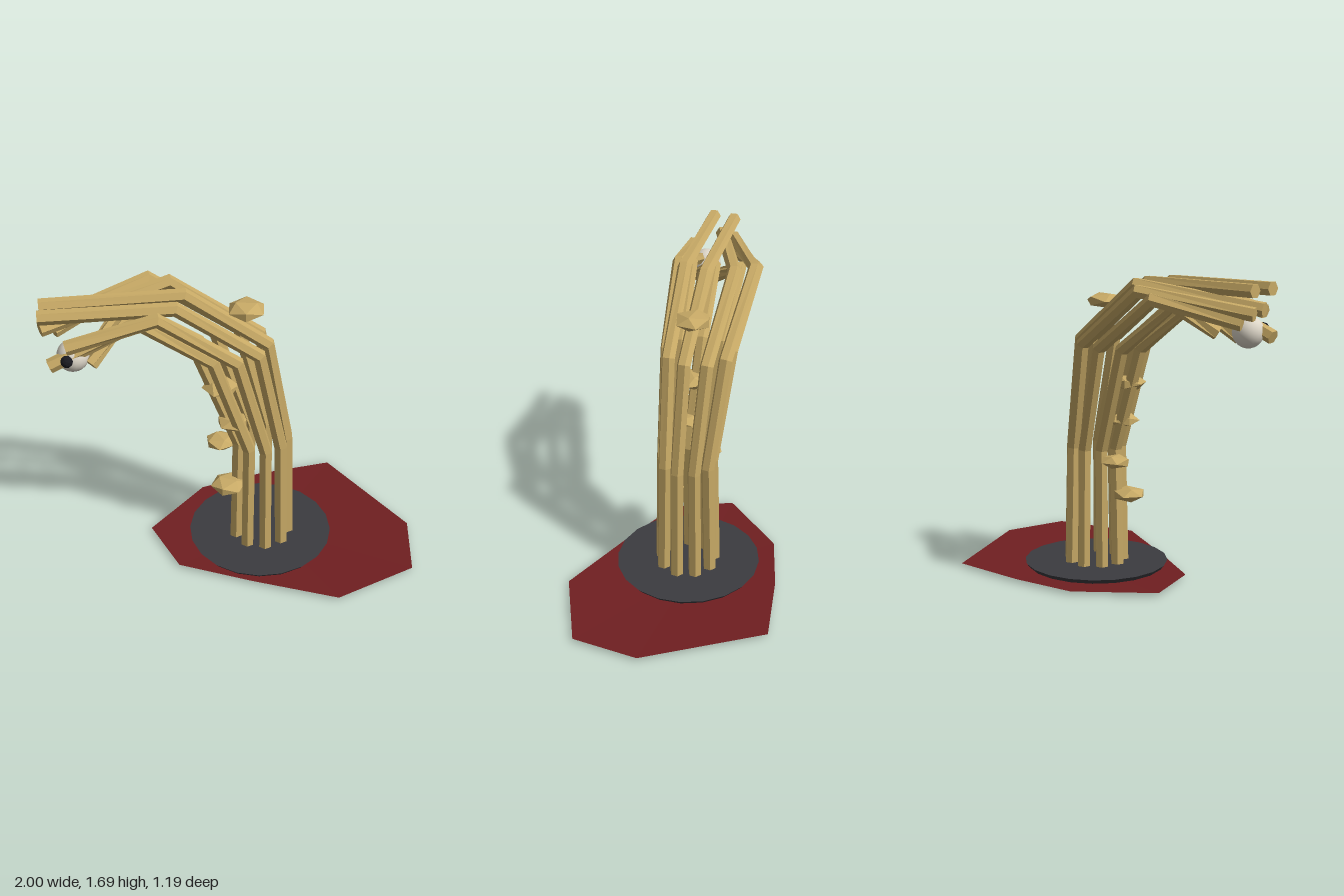
import * as THREE from 'three';

const mat = (name, color, extra = {}) => {
  const m = new THREE.MeshStandardMaterial({ color, ...extra });
  m.name = name;
  return m;
};

// Six-sided rod swept along a polyline with mitred joints and capped ends.
function rodGeometry(points, radius, sides = 6) {
  const pos = [], index = [];
  const side = new THREE.Vector3(0, 0, 1);
  const n = points.length;
  points.forEach((p, i) => {
    const a = points[Math.max(i - 1, 0)], b = points[Math.min(i + 1, n - 1)];
    const dirIn = p.clone().sub(a).normalize(), dirOut = b.clone().sub(p).normalize();
    const t = dirIn.add(dirOut).normalize();
    const u = side.clone().addScaledVector(t, -side.dot(t)).normalize();
    const v = t.clone().cross(u);
    for (let k = 0; k < sides; k++) {
      const ang = (k / sides) * Math.PI * 2;
      const q = p.clone().addScaledVector(u, Math.cos(ang) * radius).addScaledVector(v, Math.sin(ang) * radius);
      pos.push(q.x, q.y, q.z);
    }
  });
  for (let i = 0; i < n - 1; i++) {
    for (let k = 0; k < sides; k++) {
      const a = i * sides + k, b = i * sides + (k + 1) % sides;
      index.push(a, b, b + sides, a, b + sides, a + sides);
    }
  }
  const last = (n - 1) * sides;
  for (let k = 1; k < sides - 1; k++) {
    index.push(0, k + 1, k, last, last + k, last + k + 1);
  }
  const g = new THREE.BufferGeometry();
  g.setAttribute('position', new THREE.Float32BufferAttribute(pos, 3));
  g.setIndex(index);
  g.computeVertexNormals();
  return g;
}

export function createModel() {
  const model = new THREE.Group();
  const wood = mat('tan wood', 0xc8aa66, { flatShading: true });
  const red = mat('dark red', 0x701f21, { flatShading: true, side: THREE.DoubleSide });
  const grey = mat('charcoal', 0x3b3b40, { flatShading: true });
  const white = mat('off white', 0xddd6c8);
  const black = mat('black', 0x1a1a20, { flatShading: true });

  const add = (name, geometry, material, x = 0, y = 0, z = 0, parent = model) => {
    const mesh = new THREE.Mesh(geometry, material);
    mesh.name = name;
    mesh.position.set(x, y, z);
    parent.add(mesh);
    return mesh;
  };

  // Ground patch: irregular nine-sided sheet, very slightly dished
  const rim = [[1, -0.04], [1, 0.34], [0.58, 0.59], [0.1, 0.47], [-0.31, 0.35],
    [-0.49, 0.04], [-0.21, -0.34], [0.13, -0.48], [0.55, -0.6]];
  const patch = new THREE.BufferGeometry();
  const patchPos = [0.2, 0, 0];
  rim.forEach(([x, z]) => patchPos.push(x, 0.018, z));
  const patchIndex = [];
  rim.forEach((_, i) => patchIndex.push(0, 1 + (i + 1) % rim.length, 1 + i));
  patch.setAttribute('position', new THREE.Float32BufferAttribute(patchPos, 3));
  patch.setIndex(patchIndex);
  patch.computeVertexNormals();
  add('groundPatch', patch, red);

  // Round base disc, a little wider at the top
  add('baseDisc', new THREE.CylinderGeometry(0.405, 0.385, 0.025, 20), grey, 0.14, 0.033, 0.05);

  // Bundle of rods: ring of starts, bending over to individual tips
  const tips = [[-0.98, 1.655, 0.25], [-0.97, 1.66, 0.37], [-0.83, 1.53, 0.44],
    [-0.92, 1.41, 0.42], [-0.72, 1.39, 0.37], [-0.7, 1.42, 0.24],
    [-0.92, 1.49, 0.22], [-0.98, 1.54, 0.25], [-0.97, 1.56, 0.32]];
  const arm = new THREE.Group();
  arm.name = 'arm';
  model.add(arm);
  tips.forEach((tip, i) => {
    const a = (i / tips.length) * Math.PI * 2, c = Math.cos(a), s = Math.sin(a);
    const path = [
      [0.145 + 0.15 * c, 0.035, 0.052 + 0.15 * s],
      [0.143 + 0.135 * c, 0.71, 0.05 + 0.135 * s],
      [-0.02 + 0.19 * c, 1.305 + 0.015 * c, 0.052 + 0.172 * s],
      [-0.41 + 0.15 * c + (s < 0 ? 0.08 * s : 0), 1.6 + 0.05 * c + 0.02 * Math.abs(s), 0.12 + 0.21 * s],
      tip,
    ].map((p) => new THREE.Vector3(...p));
    add('rod' + (i + 1), rodGeometry(path, 0.038), wood, 0, 0, 0, arm);
  });

  // Flattened faceted knobs growing from the arm
  const knobs = [[0.055, 1.53, 0.05, 0.105], [-0.08, 1.09, 0.12, 0.1], [-0.015, 0.87, 0.13, 0.09],
    [-0.085, 0.66, 0.03, 0.088], [-0.04, 0.45, 0.15, 0.098]];
  knobs.forEach(([x, y, z, r], i) => {
    const knob = add('knob' + (i + 1), new THREE.IcosahedronGeometry(r, 0), wood, x, y, z);
    knob.scale.y = 0.43;
    knob.rotation.y = i * 0.7;
  });

  // Eye held between the fingers
  add('eyeball', new THREE.SphereGeometry(0.083, 20, 14), white, -0.81, 1.43, 0.35);
  add('pupil', new THREE.IcosahedronGeometry(0.032, 1), black, -0.83, 1.445, 0.43);

  return model;
}
